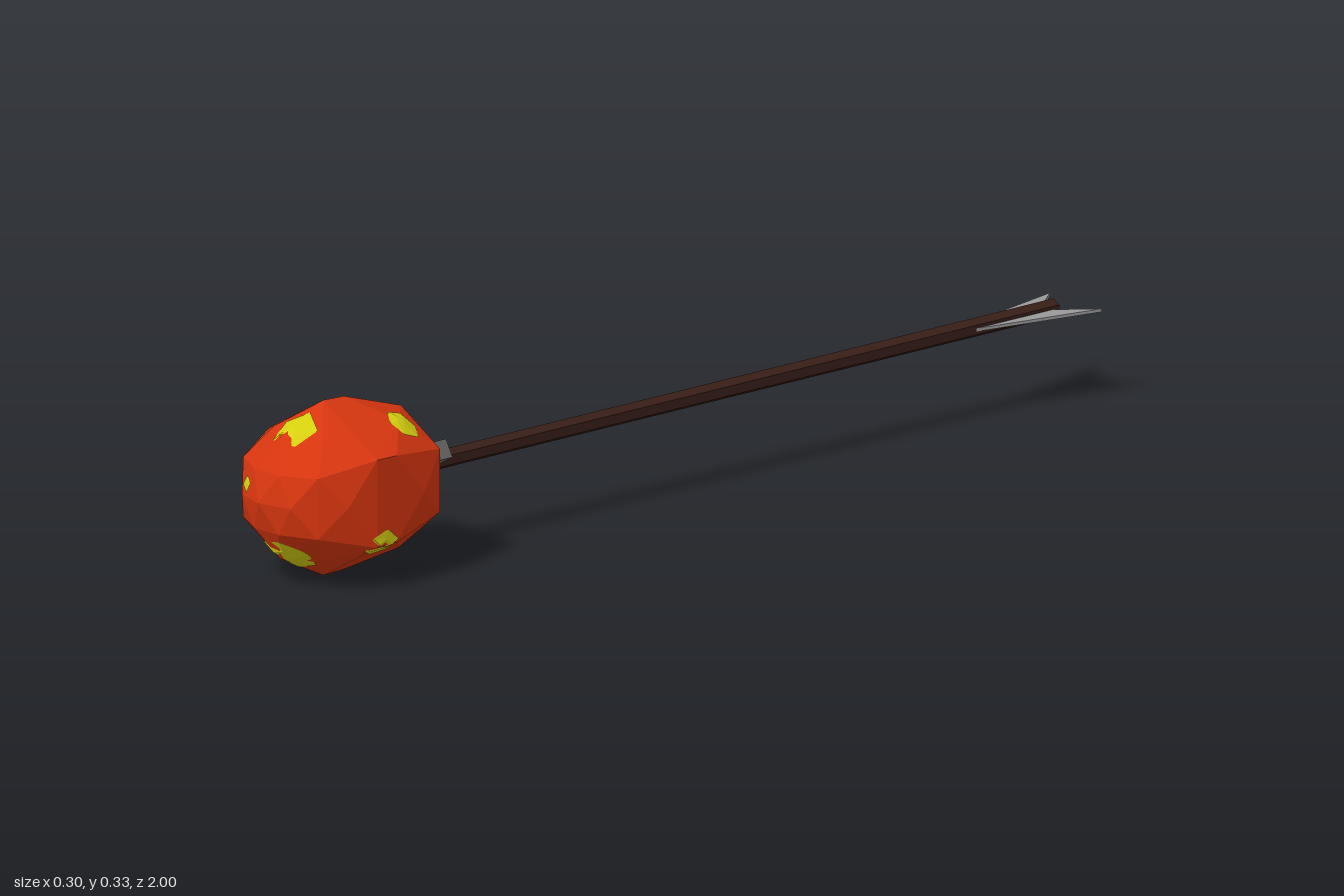
import * as THREE from 'three';
import { ConvexGeometry } from 'three/addons/geometries/ConvexGeometry.js';

const mat = (color, extra = {}) => new THREE.MeshStandardMaterial({ color, flatShading: true, ...extra });
const CX = 0.005, CY = 0.167;

function add(parent, name, geometry, material) {
  const mesh = new THREE.Mesh(geometry, material);
  mesh.name = name;
  parent.add(mesh);
  return mesh;
}

// Faceted patch draped over the head around a target point
function patchGeometry(head, target, radius, sides) {
  const centre = new THREE.Vector3(0, CY, 0.8);
  const axis = new THREE.Vector3(...target).sub(centre);
  const n = axis.clone().normalize();
  const u = new THREE.Vector3(0, 1, 0).cross(n).normalize();
  const v = n.clone().cross(u);
  const ray = new THREE.Raycaster();
  const base = axis.length();
  const project = (r, a) => {
    const dir = n.clone().multiplyScalar(base)
      .addScaledVector(u, r * Math.cos(a)).addScaledVector(v, r * Math.sin(a)).normalize();
    ray.set(centre.clone().addScaledVector(dir, 1), dir.clone().negate());
    const hit = ray.intersectObject(head)[0];
    return hit.point.addScaledVector(dir, 0.0025);
  };
  const pts = [project(0, 0)];
  const index = [];
  for (const k of [0.5, 1])
    for (let i = 0; i < sides; i++) pts.push(project(radius * k, (i / sides) * Math.PI * 2 + 0.3));
  for (let i = 0; i < sides; i++) {
    const a = 1 + i, b = 1 + ((i + 1) % sides);
    index.push(0, a, b, a, a + sides, b + sides, a, b + sides, b);
  }
  const g = new THREE.BufferGeometry().setFromPoints(pts);
  g.setIndex(index);
  g.computeVertexNormals();
  return g;
}

export function createModel() {
  const model = new THREE.Group();
  model.name = 'arrow';
  const orange = mat(0xd9360f), yellow = mat(0xd6d010, { side: THREE.DoubleSide });
  const wood = mat(0x3a2018), metal = mat(0x666666);
  const feather = mat(0x999999, { side: THREE.DoubleSide });

  // Faceted head: hexagonal rings [z, radius, turn] closed by a blunt tip
  const rings = [[0.65, 0.12, 0], [0.72, 0.14, 0.5], [0.79, 0.164, 0],
    [0.84, 0.166, 0], [0.9, 0.132, 0.5], [0.945, 0.115, 0], [0.98, 0.065, 0.5]];
  const points = [new THREE.Vector3(0, CY, 0.998)];
  for (const [z, r, turn] of rings)
    for (let i = 0; i < 6; i++) {
      const a = Math.PI / 2 + (i + turn) * Math.PI / 3;
      points.push(new THREE.Vector3(0.002 + r * 1.02 * Math.cos(a), CY + r * Math.sin(a), z));
    }
  const head = add(model, 'head', new ConvexGeometry(points), orange);

  // Glowing spots: [target, radius, sides]
  const spots = new THREE.Group();
  spots.name = 'glowingSpots';
  model.add(spots);
  [
    [[0.007, 0.285, 0.905], 0.042, 5],
    [[0.01, 0.075, 0.91], 0.045, 6],
    [[-0.047, 0.19, 0.975], 0.016, 4],
    [[-0.13, 0.225, 0.8], 0.055, 6],
    [[0.07, 0.27, 0.72], 0.033, 6],
    [[0.135, 0.085, 0.82], 0.035, 6],
    [[-0.05, 0.04, 0.72], 0.02, 5],
  ].forEach(([t, r, s], i) => add(spots, 'glowingSpot' + (i + 1), patchGeometry(head, t, r, s), yellow));

  // Three-armed clamp behind the head
  const clamp = new THREE.Group();
  clamp.name = 'clamp';
  clamp.position.set(CX, CY, 0.634);
  for (let i = 0; i < 3; i++) {
    const arm = new THREE.BoxGeometry(0.036, 0.104, 0.037);
    arm.translate(0, -0.052, 0);
    add(clamp, 'clampArm' + (i + 1), arm, metal).rotation.z = i * Math.PI * 2 / 3;
  }
  model.add(clamp);

  // Six-sided shaft
  const shaft = add(model, 'shaft', new THREE.CylinderGeometry(0.018, 0.018, 1.565, 6), wood);
  shaft.rotation.x = Math.PI / 2;
  shaft.position.set(CX, CY, -0.1625);

  // Two swept fins, lying level on each side of the tail
  for (const s of [1, -1]) {
    const outline = new THREE.Shape([[0, 0.67], [0.071, 1], [0.012, 0.925], [0, 0.925]]
      .map(([x, y]) => new THREE.Vector2(s * x, y)));
    const g = new THREE.ExtrudeGeometry(outline, { depth: 0.006, bevelEnabled: false });
    g.translate(0, 0, -0.003);
    g.rotateX(-Math.PI / 2);
    add(model, s > 0 ? 'leftFin' : 'rightFin', g, feather).position.set(CX, CY, 0);
  }
  return model;
}
